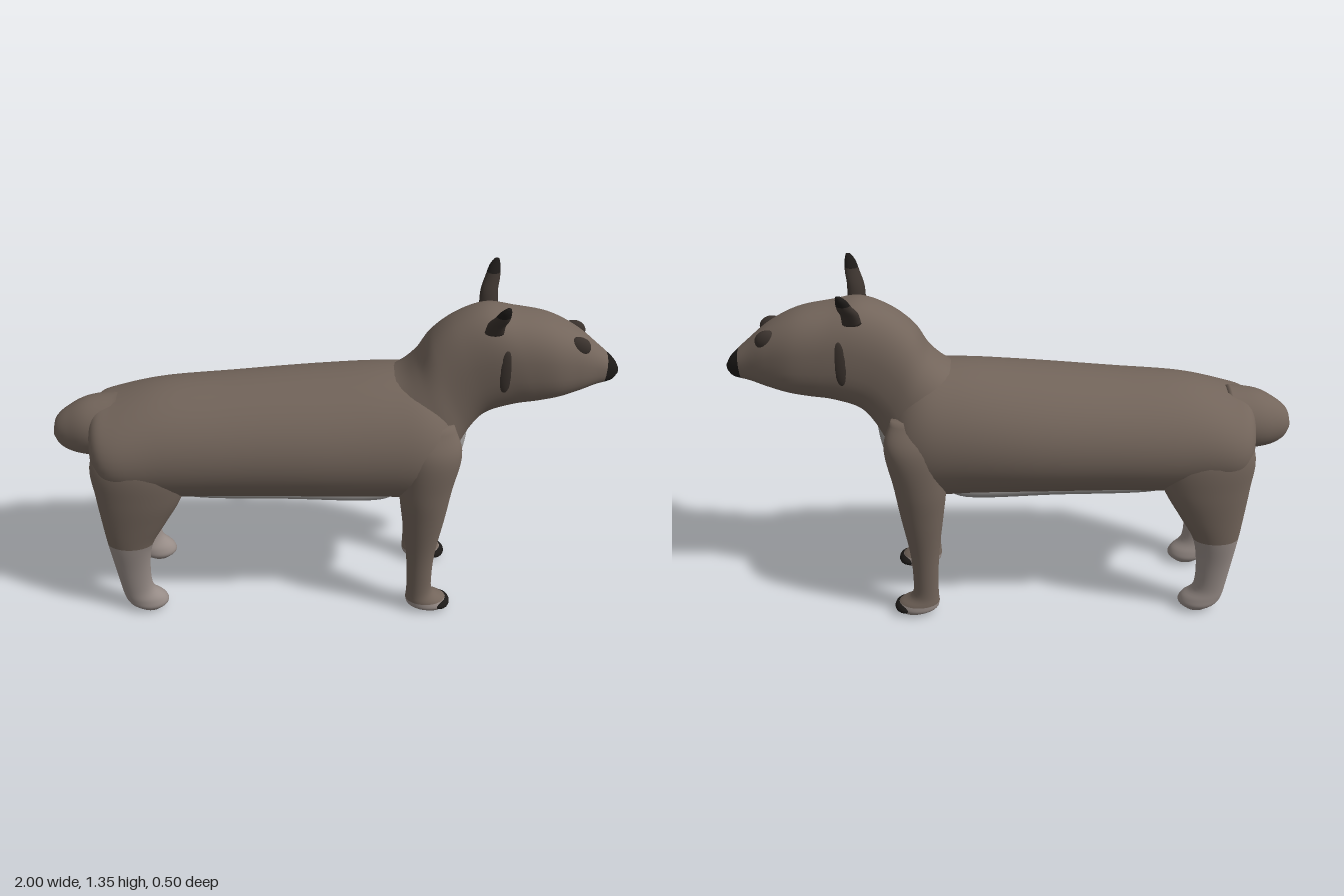
import * as THREE from 'three';

const BROWN = 0x73655b, PALE = 0x978c87, WHITE = 0x9d9a98, DARK = 0x1d1a18, SOOT = 0x3a322d;

const material = (color) => new THREE.MeshStandardMaterial({ color, roughness: 0.9 });

// Smooth skin through rings. Section: [x1, y1, x2, y2, halfWidth, z], where the two
// points are opposite ends of the ring in the side plane. Bands: [name, colour, end 0..1].
function loft(parent, sections, bands, { steps = 48, sides = 32, power = 2 } = {}) {
  const first = new THREE.CatmullRomCurve3(
    sections.map(([x, y, , , , z = 0]) => new THREE.Vector3(x, y, z)), false, 'catmullrom', 0.5);
  const second = new THREE.CatmullRomCurve3(
    sections.map(([, , x, y, w]) => new THREE.Vector3(x, y, w)), false, 'catmullrom', 0.5);
  const bend = (v) => Math.sign(v) * Math.abs(v) ** (2 / power);
  const pos = [], index = [];
  for (let i = 0; i <= steps; i++) {
    const a = first.getPoint(i / steps), b = second.getPoint(i / steps);
    for (let j = 0; j < sides; j++) {
      const t = (j / sides) * Math.PI * 2, c = bend(Math.cos(t)), s = bend(Math.sin(t));
      pos.push((a.x + b.x) / 2 + (a.x - b.x) / 2 * c,
        (a.y + b.y) / 2 + (a.y - b.y) / 2 * c, a.z + Math.max(b.z, 0.002) * s);
    }
  }
  const ring = (i, j) => i * sides + (j % sides);
  const centre = (i) => {
    const a = first.getPoint(i / steps), b = second.getPoint(i / steps);
    pos.push((a.x + b.x) / 2, (a.y + b.y) / 2, a.z);
    return pos.length / 3 - 1;
  };
  const start = centre(0), end = centre(steps);
  for (let j = 0; j < sides; j++) index.push(start, ring(0, j + 1), ring(0, j));
  for (let i = 0; i < steps; i++) {
    for (let j = 0; j < sides; j++) {
      const a = ring(i, j), b = ring(i, j + 1), c = ring(i + 1, j), d = ring(i + 1, j + 1);
      index.push(a, b, c, b, d, c);
    }
  }
  for (let j = 0; j < sides; j++) index.push(end, ring(steps, j), ring(steps, j + 1));
  const whole = new THREE.BufferGeometry();
  whole.setAttribute('position', new THREE.Float32BufferAttribute(pos, 3));
  whole.setIndex(index);
  whole.computeVertexNormals();

  // Split into colour bands that share the same smooth normals
  let from = 0;
  for (const [name, color, stop] of bands) {
    const to = stop >= 1 ? index.length : (sides + Math.round(stop * steps) * sides * 2) * 3;
    const g = whole.clone();
    g.setIndex(index.slice(from, to));
    const mesh = new THREE.Mesh(g, material(color));
    mesh.name = name;
    parent.add(mesh);
    from = to;
  }
}

function blob(parent, name, color, position, scale, tilt = 0) {
  const mesh = new THREE.Mesh(new THREE.SphereGeometry(1, 24, 16), material(color));
  mesh.name = name;
  mesh.position.set(...position);
  mesh.scale.set(...scale);
  mesh.rotation.z = tilt;
  parent.add(mesh);
}

export function createModel() {
  const model = new THREE.Group();
  model.name = 'animal';

  // Trunk, rump to chest
  loft(model, [
    [-0.865, 0.80, -0.86, 0.66, 0.09], [-0.84, 0.86, -0.84, 0.58, 0.175],
    [-0.77, 0.885, -0.77, 0.53, 0.222], [-0.60, 0.93, -0.60, 0.50, 0.23],
    [-0.35, 0.953, -0.35, 0.505, 0.24], [-0.05, 0.98, -0.05, 0.505, 0.25],
    [0.20, 1.0, 0.20, 0.495, 0.24], [0.34, 0.99, 0.34, 0.48, 0.222],
    [0.43, 0.90, 0.40, 0.49, 0.18], [0.465, 0.80, 0.425, 0.55, 0.08],
  ], [['trunk', BROWN, 1]], { steps: 72, sides: 40 });

  // Stub tail
  loft(model, [
    [-1.0, 0.755, -0.998, 0.72, 0.02], [-0.985, 0.80, -0.975, 0.685, 0.05],
    [-0.94, 0.84, -0.93, 0.662, 0.078], [-0.87, 0.875, -0.86, 0.655, 0.105],
    [-0.76, 0.89, -0.76, 0.66, 0.12],
  ], [['tail', BROWN, 1]], { steps: 28 });

  // Neck, head and nose
  loft(model, [
    [0.10, 0.96, 0.36, 0.56, 0.13], [0.22, 1.0, 0.425, 0.60, 0.155],
    [0.29, 1.06, 0.462, 0.71, 0.145], [0.34, 1.145, 0.50, 0.79, 0.13],
    [0.42, 1.215, 0.55, 0.85, 0.125], [0.52, 1.255, 0.64, 0.885, 0.128],
    [0.62, 1.24, 0.72, 0.90, 0.128], [0.74, 1.215, 0.79, 0.915, 0.12],
    [0.84, 1.165, 0.86, 0.935, 0.092], [0.92, 1.10, 0.92, 0.955, 0.06],
    [0.98, 1.045, 0.975, 0.968, 0.034], [1.0, 1.012, 0.997, 0.988, 0.012],
  ], [['neckAndHead', BROWN, 0.865], ['nose', DARK, 1]], { steps: 88, sides: 40, power: 2.4 });

  // Pale underside
  loft(model, [
    [-0.58, 0.59, -0.58, 0.54, 0.06], [-0.52, 0.62, -0.52, 0.50, 0.14],
    [-0.15, 0.625, -0.15, 0.495, 0.155], [0.18, 0.62, 0.18, 0.487, 0.15],
    [0.26, 0.59, 0.26, 0.52, 0.06],
  ], [['belly', WHITE, 1]], { steps: 32 });
  blob(model, 'bellyNub', PALE, [-0.54, 0.495, 0], [0.045, 0.035, 0.03], 0.4);
  blob(model, 'chestPatch', WHITE, [0.432, 0.665, 0], [0.04, 0.17, 0.095], -0.27);

  for (const side of [1, -1]) {
    const tag = side > 0 ? 'left' : 'right';
    const z = (rows) => rows.map((r) => [...r.slice(0, 5), r[5] * side]);
    const limb = (name) => {
      const group = new THREE.Group();
      group.name = tag + name;
      model.add(group);
      return group;
    };

    // Front leg, shoulder to paw
    const front = limb('FrontLeg');
    loft(front, z([
      [0.43, 0.86, 0.27, 0.86, 0.03, 0.14], [0.46, 0.76, 0.25, 0.76, 0.065, 0.165],
      [0.435, 0.60, 0.245, 0.60, 0.075, 0.16], [0.415, 0.46, 0.26, 0.46, 0.06, 0.162],
      [0.39, 0.30, 0.28, 0.30, 0.043, 0.16], [0.383, 0.18, 0.288, 0.18, 0.037, 0.157],
      [0.39, 0.09, 0.29, 0.09, 0.039, 0.152], [0.44, 0.05, 0.288, 0.05, 0.052, 0.147],
      [0.452, 0.025, 0.295, 0.025, 0.054, 0.146], [0.435, 0.0, 0.32, 0.01, 0.038, 0.146],
    ]), [['upperFrontLeg', BROWN, 0.78], ['frontPaw', PALE, 1]], { steps: 50 });
    blob(front, 'frontToes', DARK, [0.417, 0.03, 0.146 * side], [0.042, 0.024, 0.05], -0.1);

    // Hind leg, haunch to paw
    const hind = limb('HindLeg');
    loft(hind, z([
      [-0.58, 0.82, -0.80, 0.82, 0.03, 0.15], [-0.51, 0.70, -0.855, 0.70, 0.07, 0.155],
      [-0.535, 0.57, -0.848, 0.57, 0.07, 0.16], [-0.60, 0.45, -0.838, 0.45, 0.06, 0.163],
      [-0.66, 0.34, -0.828, 0.34, 0.05, 0.163], [-0.682, 0.22, -0.815, 0.22, 0.041, 0.157],
      [-0.68, 0.11, -0.802, 0.11, 0.04, 0.152], [-0.638, 0.06, -0.795, 0.06, 0.05, 0.147],
      [-0.63, 0.03, -0.78, 0.03, 0.052, 0.146], [-0.655, 0.005, -0.745, 0.005, 0.036, 0.146],
    ]), [['haunch', BROWN, 0.44], ['lowerHindLeg', PALE, 1]], { steps: 50 });

    // Pointed ear, tip to base
    loft(model, z([
      [0.578, 1.345, 0.562, 1.345, 0.006, 0.17], [0.582, 1.325, 0.545, 1.325, 0.014, 0.162],
      [0.582, 1.29, 0.53, 1.29, 0.021, 0.143], [0.575, 1.255, 0.515, 1.255, 0.025, 0.118],
      [0.575, 1.21, 0.51, 1.21, 0.025, 0.095],
    ]), [[tag + 'EarTip', DARK, 0.4], [tag + 'Ear', SOOT, 1]], { steps: 20, sides: 16 });

    // Dark eye and cheek markings
    blob(model, tag + 'Eye', SOOT, [0.84, 1.13, 0.056 * side], [0.042, 0.036, 0.022], -0.4);
    blob(model, tag + 'CheekMark', SOOT, [0.59, 1.07, 0.118 * side], [0.028, 0.085, 0.013]);
  }
  return model;
}
